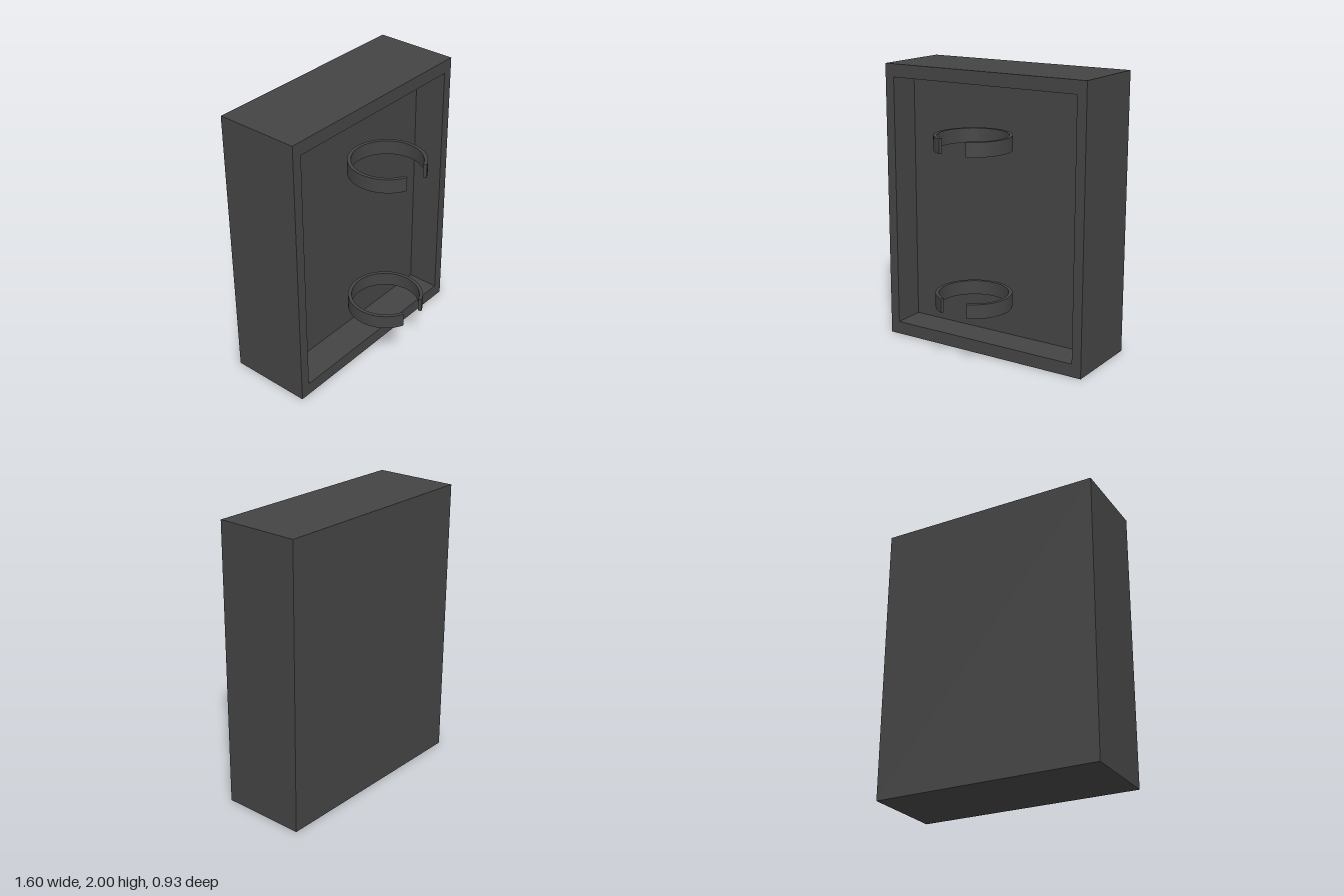
import * as THREE from 'three';

const W = 1.6, H = 2, FRONT = 0.135, BACK = -0.465, FLOOR = -0.1;

function rectangle(PathType, x0, y0, x1, y1) {
  const p = new PathType();
  p.moveTo(x0, y0);
  p.lineTo(x1, y0);
  p.lineTo(x1, y1);
  p.lineTo(x0, y1);
  p.closePath();
  return p;
}

// Open C-shaped clip with its gap towards +z
function clipGeometry(outer, inner, height, halfGap) {
  const start = Math.PI / 2 + halfGap, end = Math.PI * 2.5 - halfGap;
  const shape = new THREE.Shape();
  shape.absarc(0, 0, outer, start, end, false);
  shape.absarc(0, 0, inner, end, start, true);
  shape.closePath();
  const geo = new THREE.ExtrudeGeometry(shape, { depth: height, bevelEnabled: false, curveSegments: 48 });
  geo.translate(0, 0, -height / 2);
  geo.rotateX(Math.PI / 2);
  return geo;
}

export function createModel() {
  const model = new THREE.Group();
  model.name = 'clipHolder';
  const darkGrey = new THREE.MeshStandardMaterial({ color: 0x444444 });
  darkGrey.name = 'darkGrey';

  const add = (name, geo, x, y, z) => {
    const mesh = new THREE.Mesh(geo, darkGrey);
    mesh.name = name;
    mesh.position.set(x, y, z);
    model.add(mesh);
  };

  // Solid rear block, whose front face is the floor of the recess
  add('backBlock', new THREE.BoxGeometry(W, H, FLOOR - BACK), 0, H / 2, (FLOOR + BACK) / 2);

  // Rim around the recess
  const rim = rectangle(THREE.Shape, -W / 2, 0, W / 2, H);
  rim.holes.push(rectangle(THREE.Path, -0.73, 0.093, 0.73, 1.907));
  add('rim', new THREE.ExtrudeGeometry(rim, { depth: FRONT - FLOOR, bevelEnabled: false }), 0, 0, FLOOR);

  // Two matching clips
  const clip = clipGeometry(0.265, 0.24, 0.1, 0.407);
  add('lowerClip', clip, 0, 0.44, 0.222);
  add('upperClip', clip, 0, 1.54, 0.222);

  return model;
}
